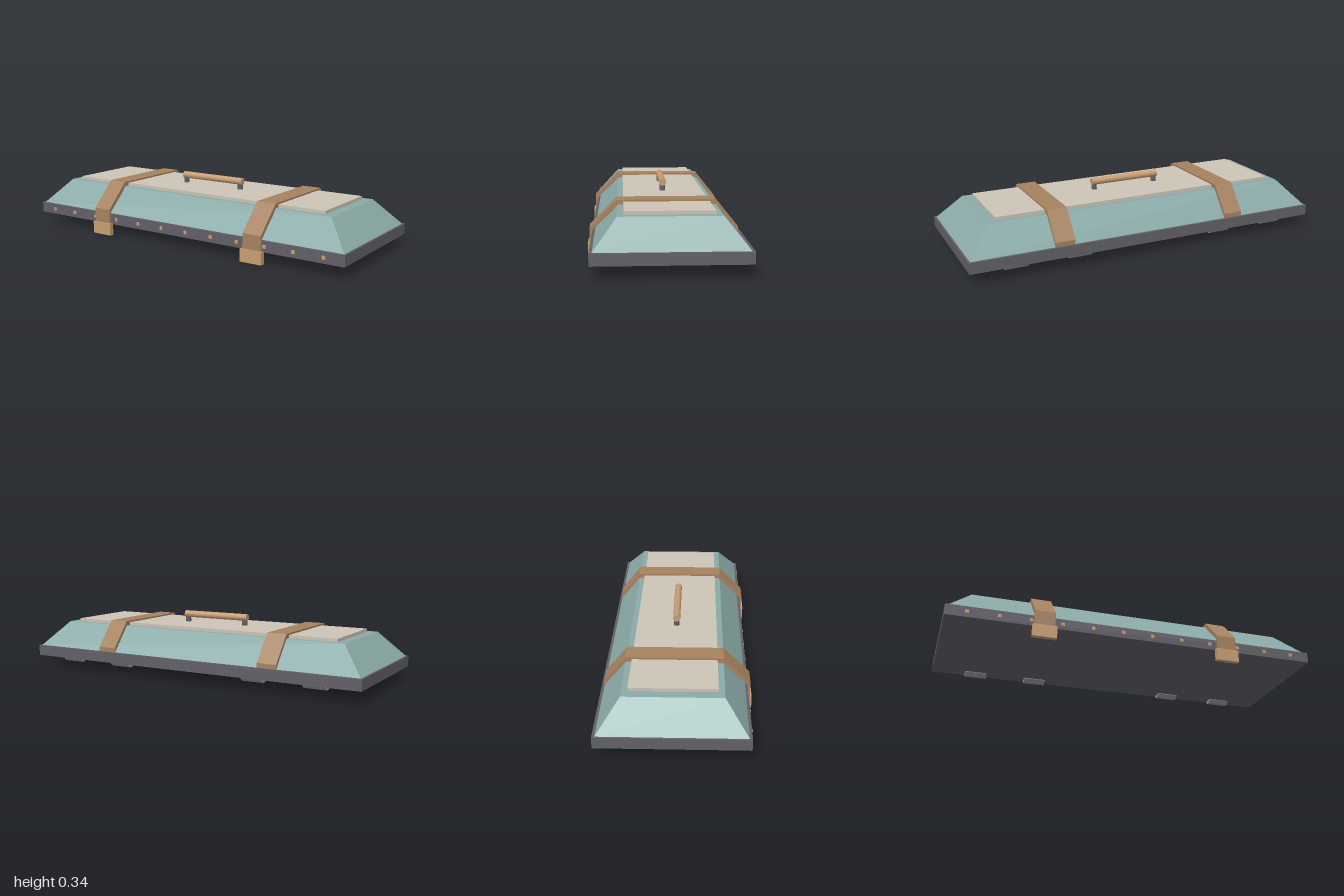
import * as THREE from 'three';

const material = (name, color) => Object.assign(new THREE.MeshStandardMaterial({ color }), { name });

export function createModel() {
  const group = new THREE.Group();
  const darkGrey = material('dark grey metal', 0x626067);
  const teal = material('teal shell', 0x8aaba8);
  const cream = material('cream panel', 0xcdc4b6);
  const brown = material('brown strap', 0xa68260);
  const tan = material('tan brass', 0xc89d72);
  const steel = material('light steel', 0x98979c);
  const midZ = -0.01;

  const add = (name, geometry, mat, x = 0, y = 0, z = 0) => {
    const mesh = new THREE.Mesh(geometry, mat);
    mesh.name = name;
    mesh.position.set(x, y, z);
    group.add(mesh);
    return mesh;
  };
  // Box given by its x, y and z ranges
  const box = (name, mat, [x0, x1], [y0, y1], [z0, z1]) =>
    add(name, new THREE.BoxGeometry(x1 - x0, y1 - y0, z1 - z0), mat,
      (x0 + x1) / 2, (y0 + y1) / 2, (z0 + z1) / 2);
  const faceted = (geometry) => {
    const g = geometry.toNonIndexed();
    g.computeVertexNormals();
    return g;
  };

  // Rim of the lid
  box('rim', darkGrey, [-1, 1], [0.063, 0.122], [-0.382, 0.362]);

  // Shell: a box tapered to a smaller top
  const shell = new THREE.BoxGeometry(1.98, 0.138, 0.716);
  const p = shell.attributes.position;
  for (let i = 0; i < p.count; i++) {
    if (p.getY(i) > 0) {
      p.setX(i, Math.sign(p.getX(i)) * 0.864);
      p.setZ(i, Math.sign(p.getZ(i)) * 0.246);
    }
  }
  shell.computeVertexNormals();
  add('shell', shell, teal, 0, 0.191, midZ);

  // Raised top panel
  box('topPanel', cream, [-0.815, 0.815], [0.259, 0.277], [-0.225, 0.205]);

  // Straps: side profile as (z, y), extruded across the width
  const profile = [
    [0.374, 0.06], [0.374, 0.147], [0.236, 0.286], [-0.257, 0.286], [-0.37, 0.146], [-0.37, 0.122],
    [-0.355, 0.122], [-0.25, 0.262], [0.228, 0.262], [0.361, 0.132], [0.361, 0.06],
  ].map(([z, y]) => new THREE.Vector2(z, y));
  const strapWidth = 0.108;
  const strap = new THREE.ExtrudeGeometry(new THREE.Shape(profile), { depth: strapWidth, bevelEnabled: false });
  strap.rotateY(-Math.PI / 2).translate(strapWidth / 2, 0, 0);

  // Back hinge knuckle, eight-sided with a flat underside
  const hinge = faceted(new THREE.CylinderGeometry(0.0303, 0.0303, 0.122, 8)
    .rotateY(Math.PI / 8).rotateZ(Math.PI / 2));
  const post = new THREE.CylinderGeometry(0.015, 0.015, 0.036, 12);

  for (const side of [-1, 1]) {
    const label = side > 0 ? 'left' : 'right';
    add(label + 'Strap', strap, brown, side * 0.5);
    box(label + 'Clasp', tan, [side * 0.5 - 0.063, side * 0.5 + 0.063], [0, 0.068], [0.357, 0.383]);
    add(label + 'HandlePost', post, darkGrey, side * 0.185, 0.293, midZ);
    for (const x of [0.415, 0.757]) add(label + 'Hinge', hinge, steel, side * x, 0.072, -0.345);
  }

  // Handle grip
  const grip = new THREE.CylinderGeometry(0.019, 0.019, 0.4, 16).rotateZ(Math.PI / 2);
  add('handleGrip', grip, tan, 0, 0.321, midZ);

  // Row of rivets along the front of the rim
  const rivet = new THREE.BoxGeometry(0.018, 0.018, 0.008);
  for (let i = 0; i < 12; i++) add('rivet', rivet, tan, (i - 5.5) * 0.162, 0.093, 0.363);

  return group;
}
